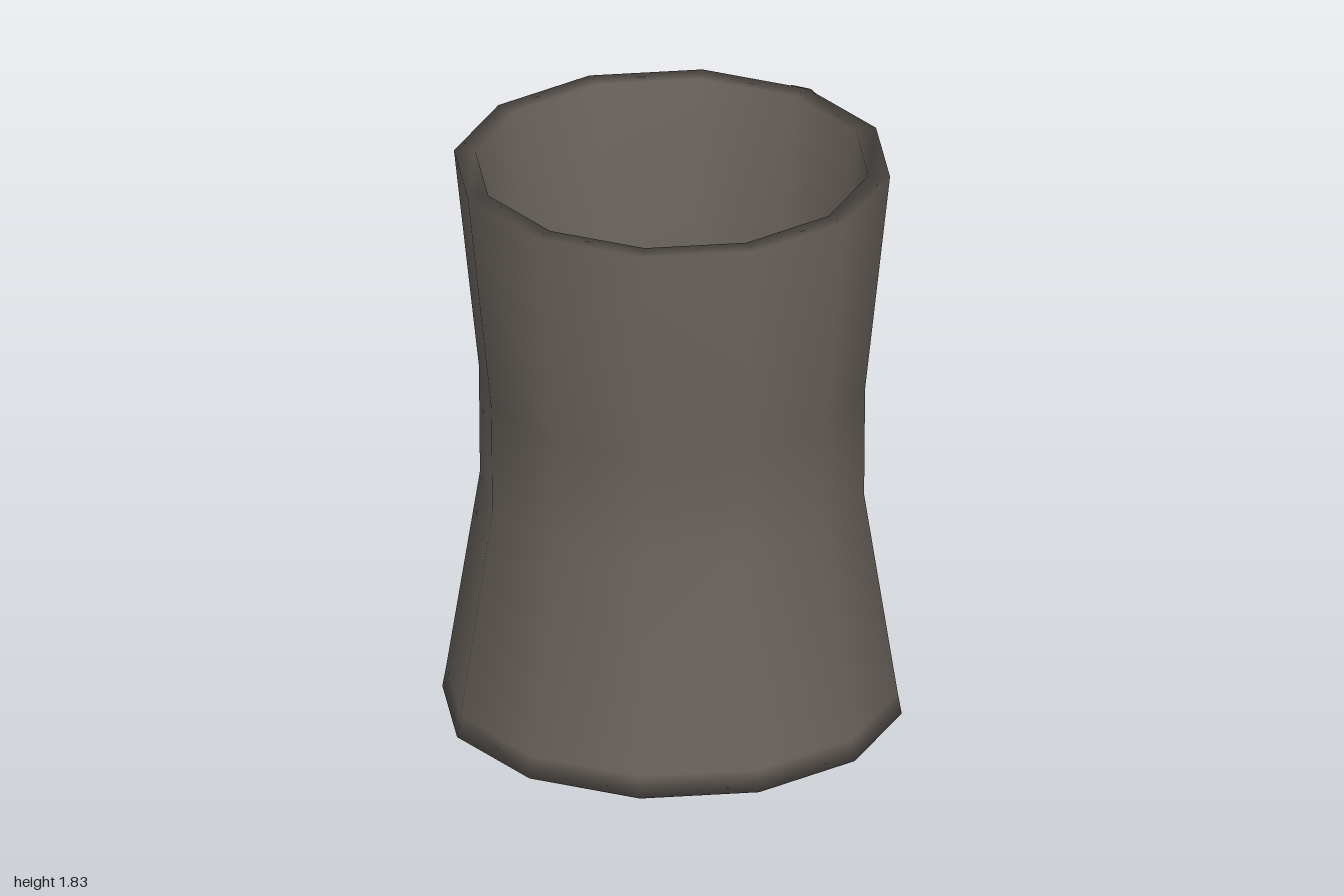
import * as THREE from 'three';

const SIDES = 12;
const AXIS_Z = 0.31; // the cup sits forward of the handle

// Twelve-sided cup: one closed profile from underside, up the wall, over the rim, down to the floor
function createCup(material) {
  const profile = [
    [0, 0], [0.69, 0], [0.678, 0.07], [0.577, 0.74], [0.58, 1.1], [0.655, 1.83],
    [0.59, 1.83], [0.515, 1.1], [0.512, 0.74], [0.58, 0.2], [0.56, 0.12], [0, 0.12],
  ].map(([apothem, y]) => new THREE.Vector2(apothem / Math.cos(Math.PI / SIDES), y));
  const cup = new THREE.Mesh(new THREE.LatheGeometry(profile, SIDES, Math.PI / SIDES), material);
  cup.name = 'cup';
  cup.position.z = AXIS_Z;
  return cup;
}

// Curved handle: elliptical rings spanned between an outer and an inner edge line
function createHandle(material) {
  const rings = [ // outer z, y, inner z, y
    [-0.32, 1.75, -0.32, 1.615], [-0.47, 1.735, -0.43, 1.61], [-0.64, 1.68, -0.55, 1.555],
    [-0.79, 1.6, -0.67, 1.49], [-0.94, 1.44, -0.81, 1.36], [-1.0, 1.21, -0.865, 1.205],
    [-0.955, 1.02, -0.84, 1.06], [-0.87, 0.84, -0.79, 0.9], [-0.77, 0.7, -0.71, 0.765],
    [-0.6, 0.55, -0.55, 0.615], [-0.46, 0.42, -0.35, 0.44], [-0.44, 0.31, -0.36, 0.2],
    [-0.5, 0.19, -0.43, 0.135],
  ];
  const n = 8, halfWidth = 0.058;
  const positions = [], index = [];
  const addRing = ([oz, oy, iz, iy]) => {
    const start = positions.length / 3;
    for (let j = 0; j < n; j++) {
      const a = (j / n) * Math.PI * 2, c = Math.cos(a) / 2;
      positions.push(halfWidth * Math.sin(a), (oy + iy) / 2 + (oy - iy) * c, (oz + iz) / 2 + (oz - iz) * c);
    }
    return start;
  };
  const starts = rings.map(addRing);
  for (let i = 0; i < starts.length - 1; i++) {
    for (let j = 0; j < n; j++) {
      const k = (j + 1) % n, s = starts[i], t = starts[i + 1];
      index.push(s + j, s + k, t + k, s + j, t + k, t + j);
    }
  }
  // flat end caps with their own corners
  const first = addRing(rings[0]), last = addRing(rings[rings.length - 1]);
  for (let j = 1; j < n - 1; j++) {
    index.push(first, first + j + 1, first + j, last, last + j, last + j + 1);
  }
  const geometry = new THREE.BufferGeometry();
  geometry.setAttribute('position', new THREE.Float32BufferAttribute(positions, 3));
  geometry.setIndex(index);
  geometry.computeVertexNormals();
  const handle = new THREE.Mesh(geometry, material);
  handle.name = 'handle';
  return handle;
}

export function createModel() {
  const stoneware = new THREE.MeshStandardMaterial({ color: 0x6b645e });
  stoneware.name = 'warm grey stoneware';
  const mug = new THREE.Group();
  mug.name = 'mug';
  mug.add(createCup(stoneware), createHandle(stoneware));
  return mug;
}
